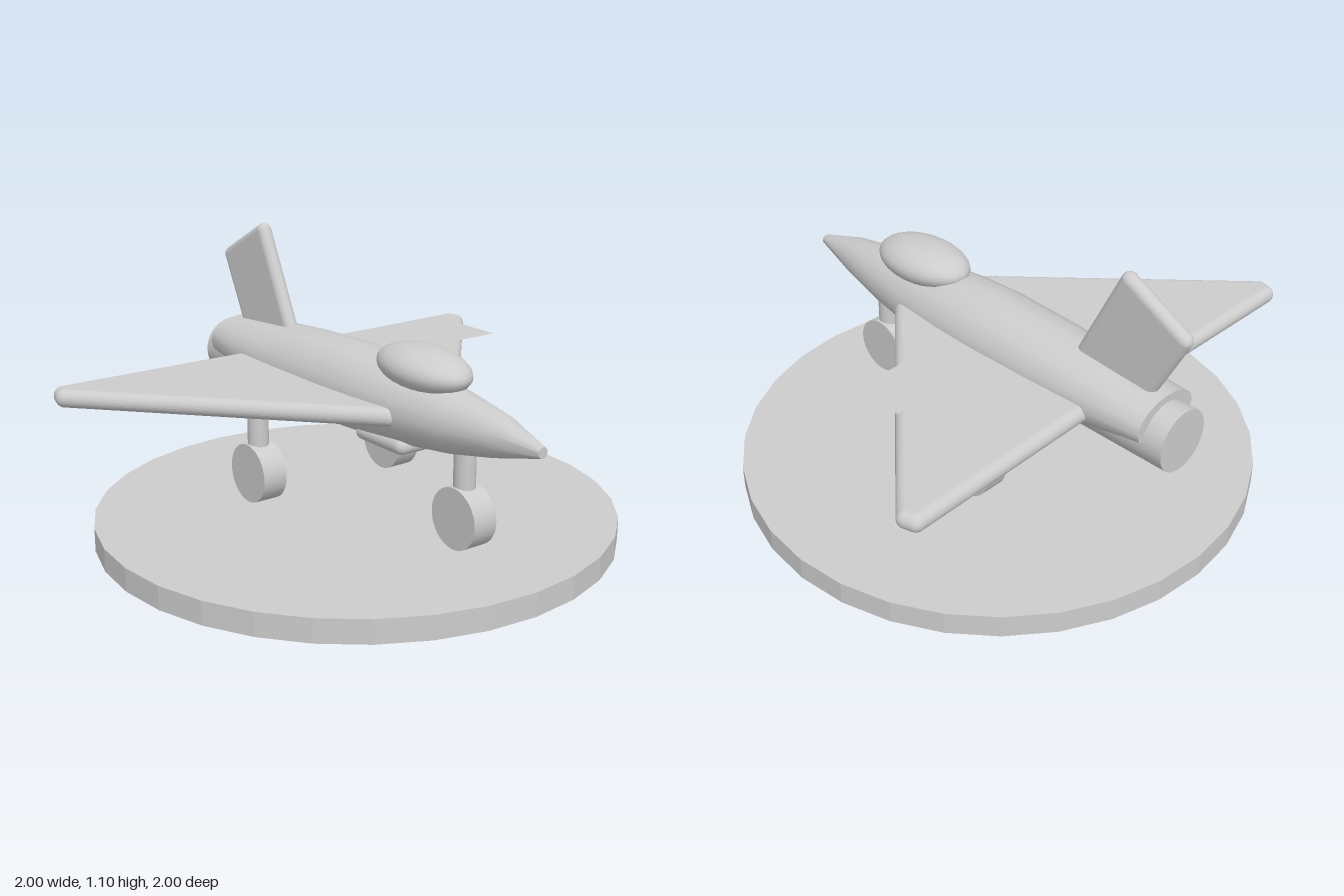
import * as THREE from 'three';
import { toCreasedNormals } from 'three/addons/utils/BufferGeometryUtils.js';
import { ConvexGeometry } from 'three/addons/geometries/ConvexGeometry.js';

// Flat plate with fully rounded edges: a ball of radius r swept over the corners
function roundedPlate(corners, r, poleAlongX = false) {
  const ball = new THREE.SphereGeometry(r, 24, 16);
  if (poleAlongX) ball.rotateZ(Math.PI / 2);
  const pos = ball.attributes.position;
  const points = [];
  for (const c of corners) {
    for (let i = 0; i < pos.count; i++) {
      points.push(new THREE.Vector3(c[0], c[1], c[2]).add(new THREE.Vector3().fromBufferAttribute(pos, i)));
    }
  }
  return new ConvexGeometry(points);
}

// Closed loft of elliptical sections [z, centre y, half width, half height], nose to tail
function loft(stations, sides) {
  const verts = [];
  const index = [];
  for (const [z, cy, rx, ry] of stations) {
    for (let j = 0; j < sides; j++) {
      const a = (j / sides) * Math.PI * 2;
      verts.push(rx * Math.cos(a), cy + ry * Math.sin(a), z);
    }
  }
  const last = stations.length - 1;
  const front = verts.length / 3;
  verts.push(0, stations[0][1], stations[0][0], 0, stations[last][1], stations[last][0]);
  for (let j = 0; j < sides; j++) {
    const k = (j + 1) % sides;
    for (let i = 0; i < last; i++) {
      const a = i * sides, b = a + sides;
      index.push(a + j, b + j, a + k, b + j, b + k, a + k);
    }
    index.push(front, j, k, front + 1, last * sides + k, last * sides + j);
  }
  const geo = new THREE.BufferGeometry();
  geo.setAttribute('position', new THREE.Float32BufferAttribute(verts, 3));
  geo.setIndex(index);
  return toCreasedNormals(geo, 0.9);
}

export function createModel() {
  const model = new THREE.Group();
  model.name = 'jetOnStand';
  const grey = new THREE.MeshStandardMaterial({ color: 0xcccccc });
  grey.name = 'lightGrey';
  const greyThin = grey.clone();
  greyThin.name = 'lightGreyThin';
  greyThin.side = THREE.DoubleSide;

  const add = (name, geo, x = 0, y = 0, z = 0, mat = grey) => {
    const mesh = new THREE.Mesh(geo, mat);
    mesh.name = name;
    mesh.position.set(x, y, z);
    model.add(mesh);
    return mesh;
  };

  // Display disc with faceted rim
  const disc = new THREE.CylinderGeometry(1, 1, 0.09, 32).toNonIndexed();
  disc.computeVertexNormals();
  add('baseDisc', disc, 0, 0.045, 0);

  // Fuselage, flattened toward the tail
  add('fuselage', loft([
    [1, 0.58, 0.02, 0.02],
    [0.8, 0.583, 0.075, 0.077],
    [0.6, 0.578, 0.117, 0.113],
    [0.4, 0.578, 0.15, 0.138],
    [0.18, 0.578, 0.17, 0.157],
    [0, 0.577, 0.178, 0.165],
    [-0.3, 0.577, 0.175, 0.152],
    [-0.55, 0.585, 0.165, 0.125],
    [-0.8, 0.6, 0.148, 0.09],
  ], 16));

  // Engine nozzle
  add('nozzle', new THREE.CylinderGeometry(0.12, 0.12, 0.42, 32).rotateX(Math.PI / 2), 0, 0.54, -0.67);

  // Canopy bubble
  const canopy = add('canopy', new THREE.SphereGeometry(1, 24, 16), 0, 0.73, 0.397);
  canopy.scale.set(0.13, 0.08, 0.218);
  canopy.rotation.x = 0.04;

  // Belly intake
  add('intake', roundedPlate([
    [-0.08, 0.447, 0.375], [0.08, 0.447, 0.375], [0.08, 0.447, 0.16], [-0.08, 0.447, 0.16],
  ], 0.032));

  // Delta wings
  for (const s of [1, -1]) {
    add(s > 0 ? 'leftWing' : 'rightWing', roundedPlate([
      [0, 0.567, 0.37], [s * 0.14, 0.567, 0.37],
      [s * 0.945, 0.567, -0.52], [s * 0.935, 0.567, -0.553], [0, 0.567, -0.54],
    ], 0.035));
  }

  // Swept tail fin
  add('tailFin', roundedPlate([
    [0, 1.07, -0.612], [0, 0.94, -0.853], [0, 0.62, -0.69], [0, 0.65, -0.41],
  ], 0.03, true));

  // Loose panel hovering over the left wing
  add('wingPanel', new THREE.PlaneGeometry(0.315, 0.21).rotateX(-Math.PI / 2), 0.528, 0.667, -0.095, greyThin);

  // Landing gear: one nose unit, two main units
  const wheel = new THREE.CylinderGeometry(0.114, 0.114, 0.1, 32).rotateZ(Math.PI / 2);
  const leg = new THREE.CylinderGeometry(0.04, 0.04, 0.24, 24);
  for (const [name, x, z] of [['nose', 0, 0.625], ['left', 0.32, -0.19], ['right', -0.32, -0.19]]) {
    add(name + 'Wheel', wheel, x, 0.242, z);
    add(name + 'Leg', leg, x, 0.365, z);
  }

  return model;
}
